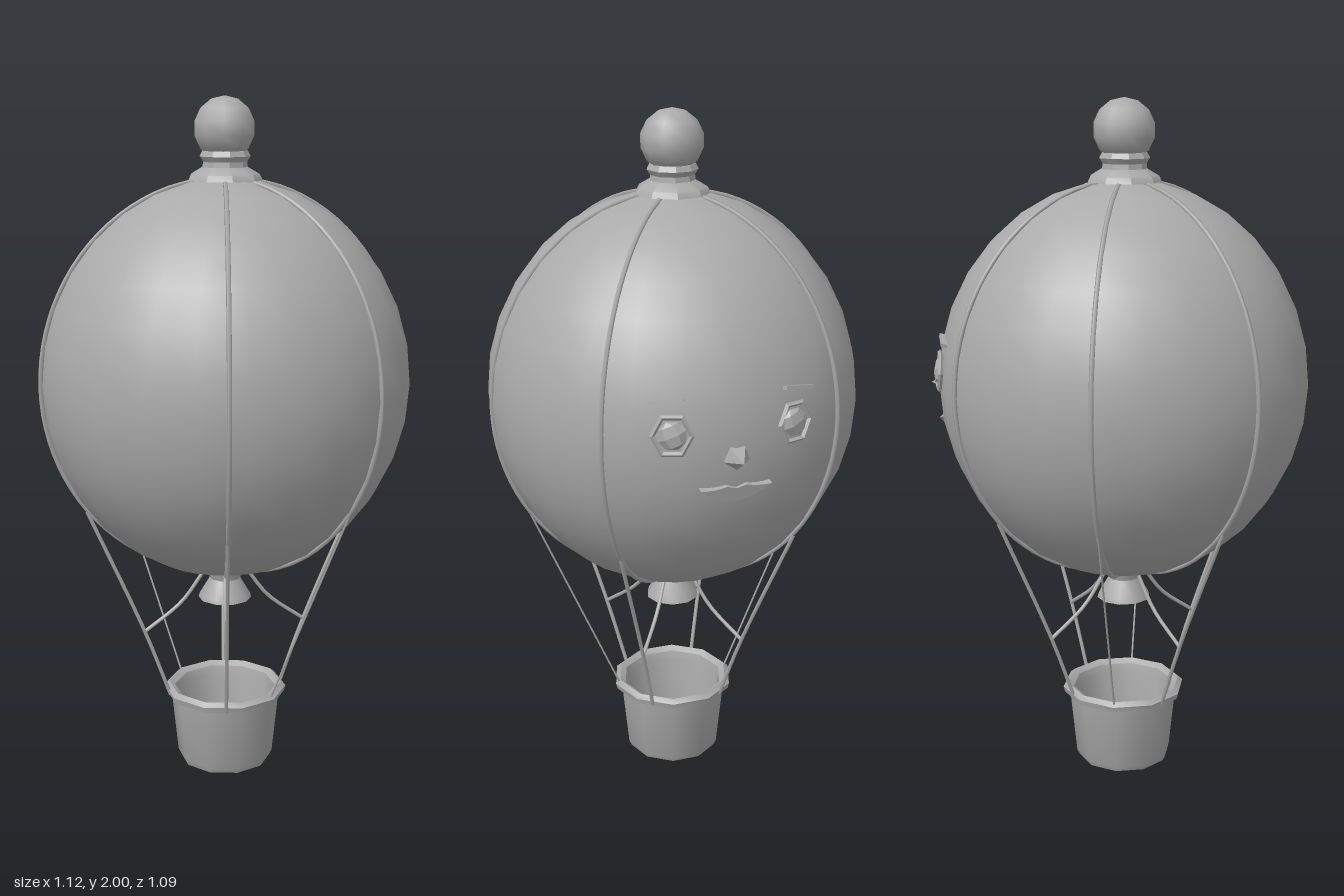
import * as THREE from 'three';
import { toCreasedNormals } from 'three/addons/utils/BufferGeometryUtils.js';

const RADIUS = 0.537, HALF_HEIGHT = 0.58, CENTRE_Y = 1.195;

export function createModel() {
  const model = new THREE.Group();
  model.name = 'hotAirBalloon';
  const grey = new THREE.MeshStandardMaterial({ color: 0xaaaaaa });
  grey.name = 'plain grey';

  // Everything shares an axis slightly behind the origin, as the nose sticks out in front
  const balloon = new THREE.Group();
  balloon.name = 'balloon';
  balloon.position.x = -0.018;
  model.add(balloon);

  const add = (name, geometry, parent = balloon) => {
    const mesh = new THREE.Mesh(geometry, grey);
    mesh.name = name;
    parent.add(mesh);
    return mesh;
  };
  const lathe = (name, profile, sides, crease = 0.7) => add(name, toCreasedNormals(
    new THREE.LatheGeometry(profile.map(([r, y]) => new THREE.Vector2(r, y)), sides), crease));
  const vec = (x, y, z) => new THREE.Vector3(x, y, z);
  const cord = (name, points, radius, steps) =>
    add(name, new THREE.TubeGeometry(new THREE.CatmullRomCurve3(points), steps, radius, 5));
  const envelopeRadius = (y) =>
    RADIUS * Math.sqrt(Math.max(0, 1 - ((y - CENTRE_Y) / HALF_HEIGHT) ** 2));

  // Envelope
  const envelope = [];
  for (let i = 0; i <= 16; i++) {
    const a = -Math.PI / 2 + (Math.PI * i) / 16;
    envelope.push([Math.max(0, RADIUS * Math.cos(a)), CENTRE_Y + HALF_HEIGHT * Math.sin(a)]);
  }
  lathe('envelope', envelope, 24, 1.2);

  // Raised seams between the six gores
  for (const degrees of [39, 90, 141, 219, 270, 321]) {
    const angle = THREE.MathUtils.degToRad(degrees);
    const points = [];
    for (let i = 1; i < 20; i++) {
      const a = -Math.PI / 2 + (Math.PI * i) / 20;
      const r = (RADIUS + 0.001) * Math.cos(a);
      points.push(vec(r * Math.cos(angle), CENTRE_Y + (HALF_HEIGHT + 0.001) * Math.sin(a), r * Math.sin(angle)));
    }
    cord('seam', points, 0.007, 40);
  }

  // Collar and ball on top
  lathe('collar', [[0, 1.765], [0.108, 1.768], [0.1, 1.785], [0.066, 1.805], [0.064, 1.82],
    [0.074, 1.835], [0.066, 1.85], [0, 1.86]], 9, 0.6);
  const ball = add('topBall', new THREE.SphereGeometry(0.09, 10, 7));
  ball.position.y = 1.912;

  // Flared neck, closed underneath
  lathe('neck', [[0, 0.522], [0.08, 0.522], [0.076, 0.535], [0.046, 0.585], [0.058, 0.625], [0, 0.65]], 10);

  // Basket with rolled rim
  lathe('basket', [[0, 0.003], [0.137, 0.003], [0.145, 0.02], [0.165, 0.215], [0.182, 0.218],
    [0.186, 0.235], [0.172, 0.247], [0.154, 0.235], [0.148, 0.21], [0.13, 0.03], [0, 0.03]], 10);

  // Ropes: four corner ropes with a branch to the neck, two thin side ropes
  for (const sz of [-1, 1]) {
    for (const sx of [-1, 1]) {
      cord('cornerRope', [vec(0.323 * sx, 0.82, 0.26 * sz), vec(0.192 * sx, 0.43, 0.156 * sz),
        vec(0.133 * sx, 0.22, 0.108 * sz)], 0.006, 8);
      cord('neckRope', [vec(0.192 * sx, 0.43, 0.156 * sz), vec(0.105 * sx, 0.515, 0.085 * sz),
        vec(0.05 * sx, 0.61, 0.04 * sz)], 0.006, 8);
    }
    cord('sideRope', [vec(0, 1.0, 0.503 * sz), vec(0, 0.22, 0.166 * sz)], 0.003, 2);
  }

  // Face, on the side pointing to +x; local z is the outward direction
  const onFace = (name, y, z) => {
    const part = new THREE.Group();
    part.name = name;
    const r = envelopeRadius(y);
    const x = Math.sqrt(r * r - z * z);
    part.position.set(x, y, z);
    balloon.add(part);
    const normal = vec(x / RADIUS ** 2, (y - CENTRE_Y) / HALF_HEIGHT ** 2, z / RADIUS ** 2);
    part.lookAt(part.getWorldPosition(vec(0, 0, 0)).add(normal));
    return part;
  };
  const flat = (geometry) => toCreasedNormals(geometry, 0.3);

  for (const side of [-1, 1]) {
    const eye = onFace('eye', 1.24, 0.172 * side);
    const socket = add('eyelid', flat(new THREE.TorusGeometry(0.052, 0.007, 4, 6)), eye);
    socket.scale.y = 1.1;
    const pupil = add('eyeball', flat(new THREE.SphereGeometry(0.04, 6, 4)), eye);
    pupil.scale.z = 0.45;
    pupil.rotation.z = 0.4;
    const brow = add('eyebrow', new THREE.BoxGeometry(0.095, 0.01, 0.02), onFace('brow', 1.33, 0.185 * side));
    brow.rotation.z = 0.15 * side;
  }

  // Nose
  const nose = add('nose', flat(new THREE.ConeGeometry(0.04, 0.055, 5)), onFace('noseBase', 1.17, 0));
  nose.rotation.x = Math.PI / 2;
  nose.position.z = 0.019;

  // Lips
  const lips = new THREE.Shape();
  lips.moveTo(-0.1, 0.016);
  lips.quadraticCurveTo(-0.06, 0.012, -0.028, 0.022);
  lips.lineTo(0, 0.014);
  lips.lineTo(0.028, 0.022);
  lips.quadraticCurveTo(0.06, 0.012, 0.1, 0.016);
  lips.quadraticCurveTo(0.05, -0.024, 0, -0.026);
  lips.quadraticCurveTo(-0.05, -0.024, -0.1, 0.016);
  const mouth = add('lips', new THREE.ExtrudeGeometry(lips,
    { depth: 0.02, bevelEnabled: false, curveSegments: 4 }), onFace('mouth', 1.07, 0));
  mouth.position.z = -0.014;

  return model;
}
